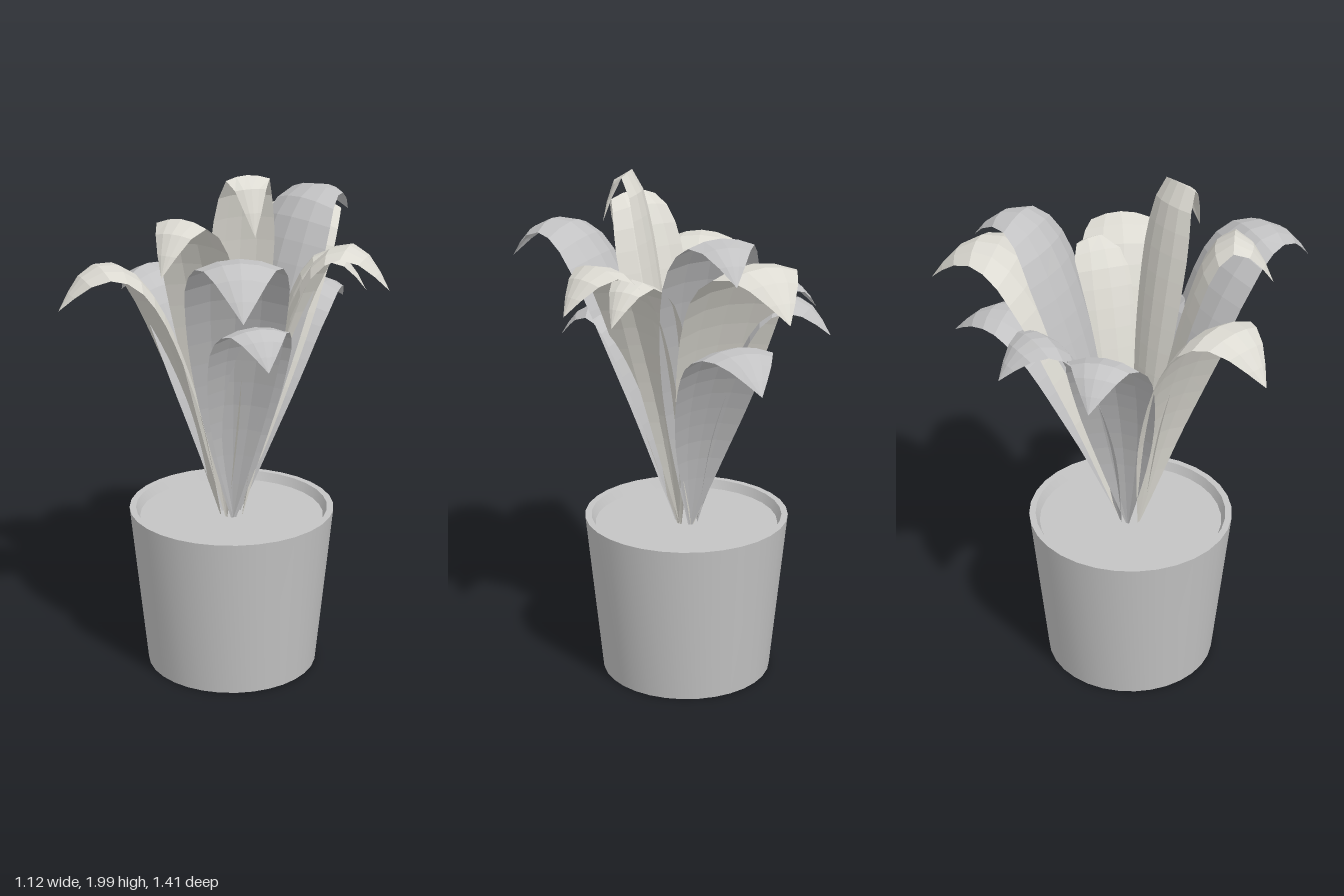
import * as THREE from 'three';
import { toCreasedNormals } from 'three/addons/utils/BufferGeometryUtils.js';

const CX = -0.045, CZ = 0.017; // pot axis
const SOIL_Y = 0.61, ROOT_Y = 0.59;

function material(name, color, extra = {}) {
  const m = new THREE.MeshStandardMaterial({ color, ...extra });
  m.name = name;
  return m;
}

// Blade width along its length: swells from a pointed root, then rounds off to the tip
function spread(t) {
  return t < 0.68 ? Math.sin(Math.PI / 2 * t / 0.68) : 1 - Math.pow((t - 0.68) / 0.32, 1.7);
}

// Arching blade: tip = [x, y, z], peak = highest point, width = widest span
function leafGeometry([tx, ty, tz], peak, width) {
  const dx = tx - CX, dz = tz - CZ, reach = Math.hypot(dx, dz);
  const out = new THREE.Vector3(dx / reach, 0, dz / reach);
  const side = new THREE.Vector3(out.z, 0, -out.x);
  const rise = peak - ROOT_Y;
  const path = new THREE.CatmullRomCurve3([
    [0.04, ROOT_Y],
    [0.22 * reach, ROOT_Y + 0.48 * rise],
    [0.45 * reach, ROOT_Y + 0.86 * rise],
    [0.58 * reach, ROOT_Y + 0.965 * rise],
    [0.72 * reach, peak],
    [0.87 * reach, peak - 0.27 * (peak - ty)],
    [reach, ty],
  ].map(([r, y]) => new THREE.Vector3(CX + out.x * r, y, CZ + out.z * r)));

  const rows = 16, cols = 4;
  const positions = [], index = [];
  for (let i = 0; i <= rows; i++) {
    const t = Math.pow(i / rows, 0.8); // closer rows around the arch
    const p = path.getPointAt(t), tangent = path.getTangentAt(t);
    const normal = new THREE.Vector3().crossVectors(tangent, side).normalize();
    const half = spread(t) * width / 2;
    for (let j = 0; j <= cols; j++) {
      const u = j / cols * 2 - 1;
      const v = p.clone().addScaledVector(side, u * half)
        .addScaledVector(normal, -0.24 * half * u * u); // edges fold away from the upper face
      positions.push(v.x, v.y, v.z);
    }
  }
  for (let i = 0; i < rows; i++) {
    for (let j = 0; j < cols; j++) {
      const a = i * (cols + 1) + j, b = a + 1, c = a + cols + 1, d = c + 1;
      if (i > 0) index.push(a, c, b); // both ends close to a point
      if (i < rows - 1) index.push(b, c, d);
    }
  }
  const g = new THREE.BufferGeometry();
  g.setAttribute('position', new THREE.Float32BufferAttribute(positions, 3));
  g.setIndex(index);
  g.computeVertexNormals();
  return g;
}

export function createModel() {
  const group = new THREE.Group();
  group.name = 'pottedPlant';

  const potGrey = material('potGrey', 0xc4c4c4);
  const leafGrey = material('leafGrey', 0xc2c2c3, { side: THREE.DoubleSide, flatShading: true });
  const leafPale = material('leafPale', 0xdcdad2, { side: THREE.DoubleSide, flatShading: true });

  // Tapered pot with a thin rim and an inner lip
  const profile = [[0, 0], [0.333, 0], [0.397, 0.645], [0.372, 0.645], [0.352, 0.6]]
    .map(([r, y]) => new THREE.Vector2(r, y));
  const pot = new THREE.Mesh(toCreasedNormals(new THREE.LatheGeometry(profile, 32), 0.6), potGrey);
  pot.name = 'pot';
  pot.position.set(CX, 0, CZ);
  group.add(pot);

  const soil = new THREE.Mesh(new THREE.CircleGeometry(0.357, 32), potGrey);
  soil.name = 'soil';
  soil.rotation.x = -Math.PI / 2;
  soil.position.set(CX, SOIL_Y, CZ);
  group.add(soil);

  // Leaves: tip, peak height, width, colour
  const leaves = new THREE.Group();
  leaves.name = 'leaves';
  [
    [[0.14, 1.60, -0.71], 1.77, 0.41, leafPale],
    [[0.24, 1.72, -0.55], 1.85, 0.36, leafGrey],
    [[-0.32, 1.42, -0.47], 1.55, 0.33, leafGrey],
    [[-0.565, 1.42, -0.16], 1.55, 0.32, leafGrey],
    [[-0.55, 1.50, 0.455], 1.66, 0.36, leafPale],
    [[-0.12, 1.68, 0.525], 1.86, 0.30, leafPale],
    [[0.14, 1.79, 0.28], 2.00, 0.24, leafPale],
    [[0.245, 1.60, 0.705], 1.77, 0.37, leafGrey],
    [[0.56, 1.56, 0.00], 1.72, 0.34, leafPale],
    [[0.44, 1.52, -0.12], 1.67, 0.27, leafPale],
    [[0.24, 1.34, 0.42], 1.47, 0.31, leafGrey],
    [[0.20, 1.34, -0.64], 1.46, 0.33, leafGrey],
  ].forEach(([tip, peak, width, mat], i) => {
    const leaf = new THREE.Mesh(leafGeometry(tip, peak, width), mat);
    leaf.name = `leaf${i + 1}`;
    leaves.add(leaf);
  });
  group.add(leaves);
  return group;
}
